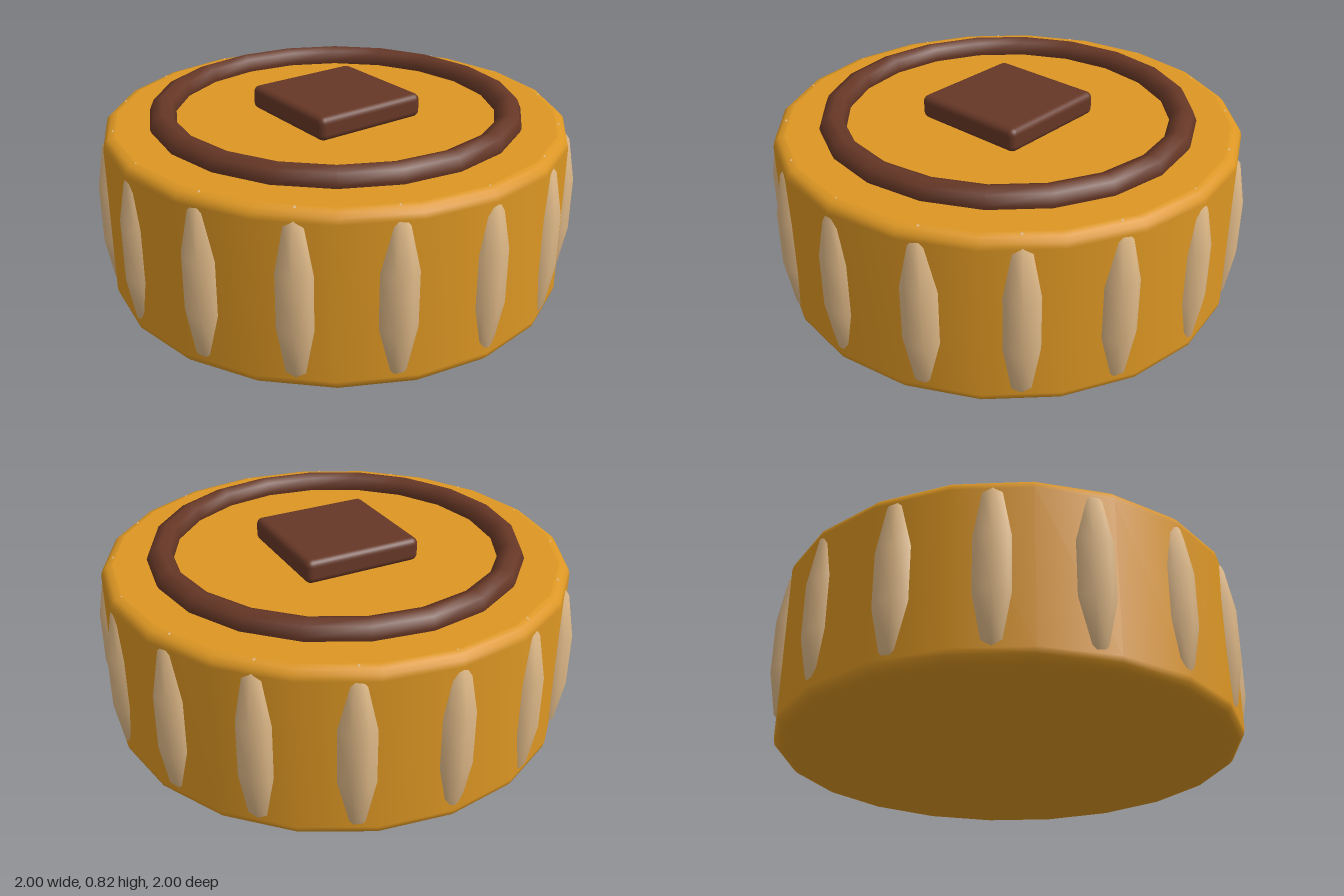
import * as THREE from 'three';
import { RoundedBoxGeometry } from 'three/addons/geometries/RoundedBoxGeometry.js';

const SIDES = 20;
const RADIUS = 0.962, HEIGHT = 0.72, BEVEL = 0.045;

function material(name, color) {
  const m = new THREE.MeshStandardMaterial({ color });
  m.name = name;
  return m;
}

// Drum profile from the bottom centre to the top centre, with rounded rims.
function drumProfile() {
  const pts = [new THREE.Vector2(0, 0)];
  const inner = RADIUS - BEVEL;
  pts.push(new THREE.Vector2(inner - 0.004, 0)); // keeps the flat base flat
  for (let i = 0; i <= 3; i++) {
    const a = (i / 3) * Math.PI / 2;
    pts.push(new THREE.Vector2(inner + BEVEL * Math.sin(a), BEVEL * (1 - Math.cos(a))));
  }
  const top = pts.map(p => new THREE.Vector2(p.x, HEIGHT - p.y)).reverse();
  return pts.concat(top);
}

export function createModel() {
  const group = new THREE.Group();
  const gold = material('golden crust', 0xdc9623);
  const tan = material('pale tan', 0xdeb887);
  const brown = material('dark brown', 0x663726);

  const add = (name, geometry, mat, x, y, z, parent = group) => {
    const mesh = new THREE.Mesh(geometry, mat);
    mesh.name = name;
    mesh.position.set(x, y, z);
    parent.add(mesh);
    return mesh;
  };

  // Round body
  add('body', new THREE.LatheGeometry(drumProfile(), SIDES), gold, 0, 0, 0);

  // Ring lying on the top
  const ring = new THREE.TorusGeometry(0.72, 0.055, 8, SIDES).rotateX(-Math.PI / 2);
  add('topRing', ring, brown, 0, 0.735, 0);

  // Square plate in the middle of the top
  add('topPlate', new RoundedBoxGeometry(0.505, 0.1, 0.505, 3, 0.028), brown, 0, 0.77, 0);

  // Tall beads half sunk into the side, all facing the same way
  const beads = new THREE.Group();
  beads.name = 'sideBeads';
  group.add(beads);
  const bead = new THREE.SphereGeometry(1, 8, 5).scale(0.088, 0.36, 0.088);
  for (let i = 0; i < 16; i++) {
    const a = (i / 16) * Math.PI * 2;
    add('sideBead', bead, tan, 0.915 * Math.sin(a), 0.365, 0.915 * Math.cos(a), beads);
  }

  return group;
}
